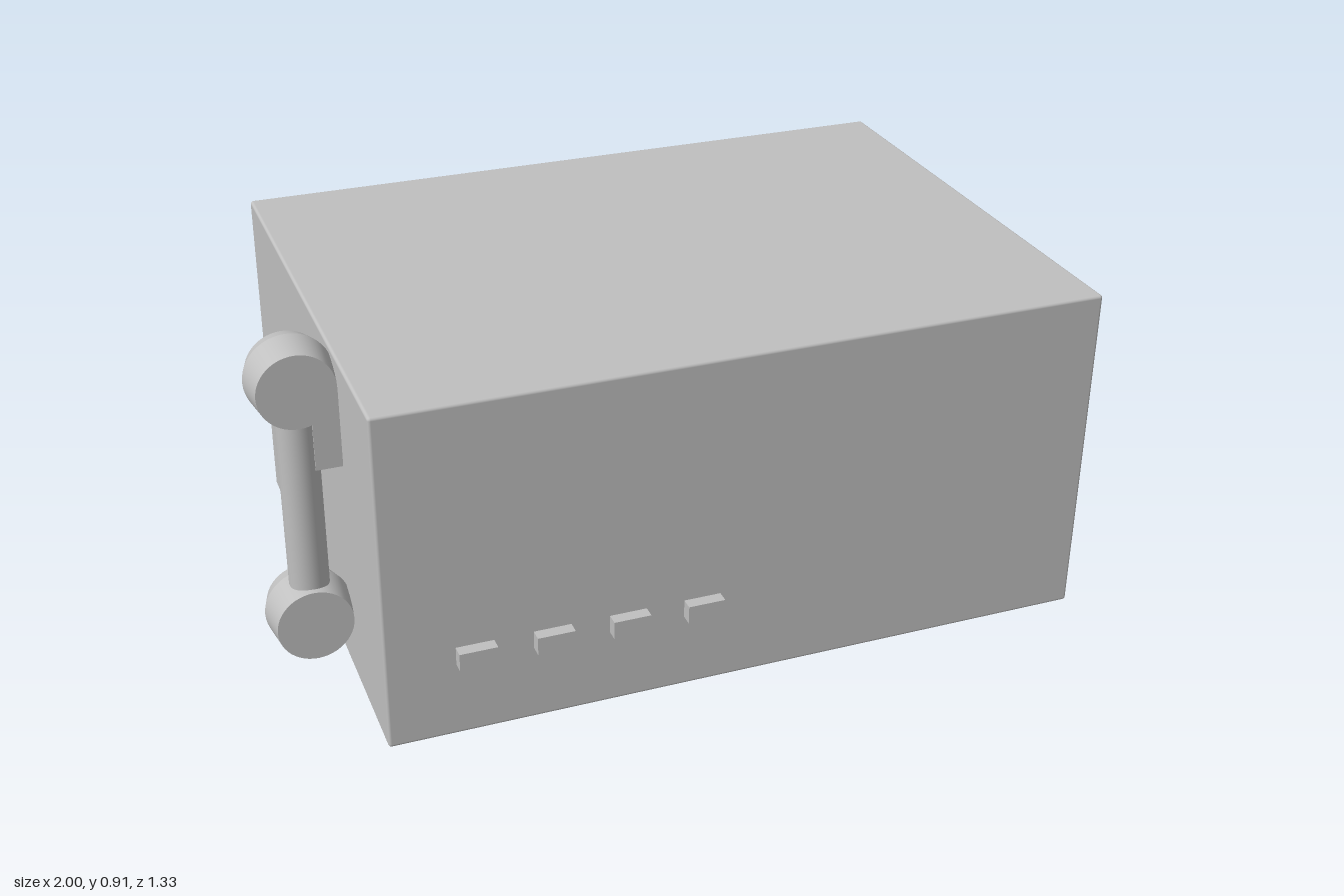
import * as THREE from 'three';
import { toCreasedNormals } from 'three/addons/utils/BufferGeometryUtils.js';
import { RoundedBoxGeometry } from 'three/addons/geometries/RoundedBoxGeometry.js';

export function createModel() {
  const model = new THREE.Group();
  model.name = 'boxPhone';
  const grey = new THREE.MeshStandardMaterial({ color: 0xc0c0c0 });
  grey.name = 'light grey';

  const add = (parent, name, geometry, x, y, z) => {
    const mesh = new THREE.Mesh(geometry, grey);
    mesh.name = name;
    mesh.position.set(x, y, z);
    parent.add(mesh);
    return mesh;
  };

  // Large cabinet with finely softened edges
  add(model, 'cabinet', new RoundedBoxGeometry(1.795, 0.865, 1.295, 2, 0.008), 0.0975, 0.4345, -0.0165);

  // Row of four small buttons low on the front
  const button = new THREE.BoxGeometry(0.092, 0.046, 0.05);
  for (let i = 0; i < 4; i++) {
    add(model, 'button' + (i + 1), button, -0.585 + i * 0.187, 0.22, 0.637);
  }

  // Handset hanging on the side: two flared drums joined by a round grip
  const handset = new THREE.Group();
  handset.name = 'handset';
  model.add(handset);
  const profile = [[0, 0.22], [0.091, 0.22], [0.104, 0.265], [0.092, 0.356], [0, 0.356]]
    .map(([r, z]) => new THREE.Vector2(r, z));
  const drum = toCreasedNormals(new THREE.LatheGeometry(profile, 48).rotateX(Math.PI / 2), 0.2);
  add(handset, 'earpiece', drum, -0.896, 0.811, 0);
  add(handset, 'mouthpiece', drum, -0.896, 0.189, 0);
  add(handset, 'grip', new THREE.CylinderGeometry(0.048, 0.048, 0.56, 32), -0.893, 0.5, 0.295);

  // Bracket holding the handset to the cabinet
  add(model, 'bracket', new THREE.BoxGeometry(0.075, 0.205, 0.08), -0.826, 0.6975, 0.297);

  return model;
}
